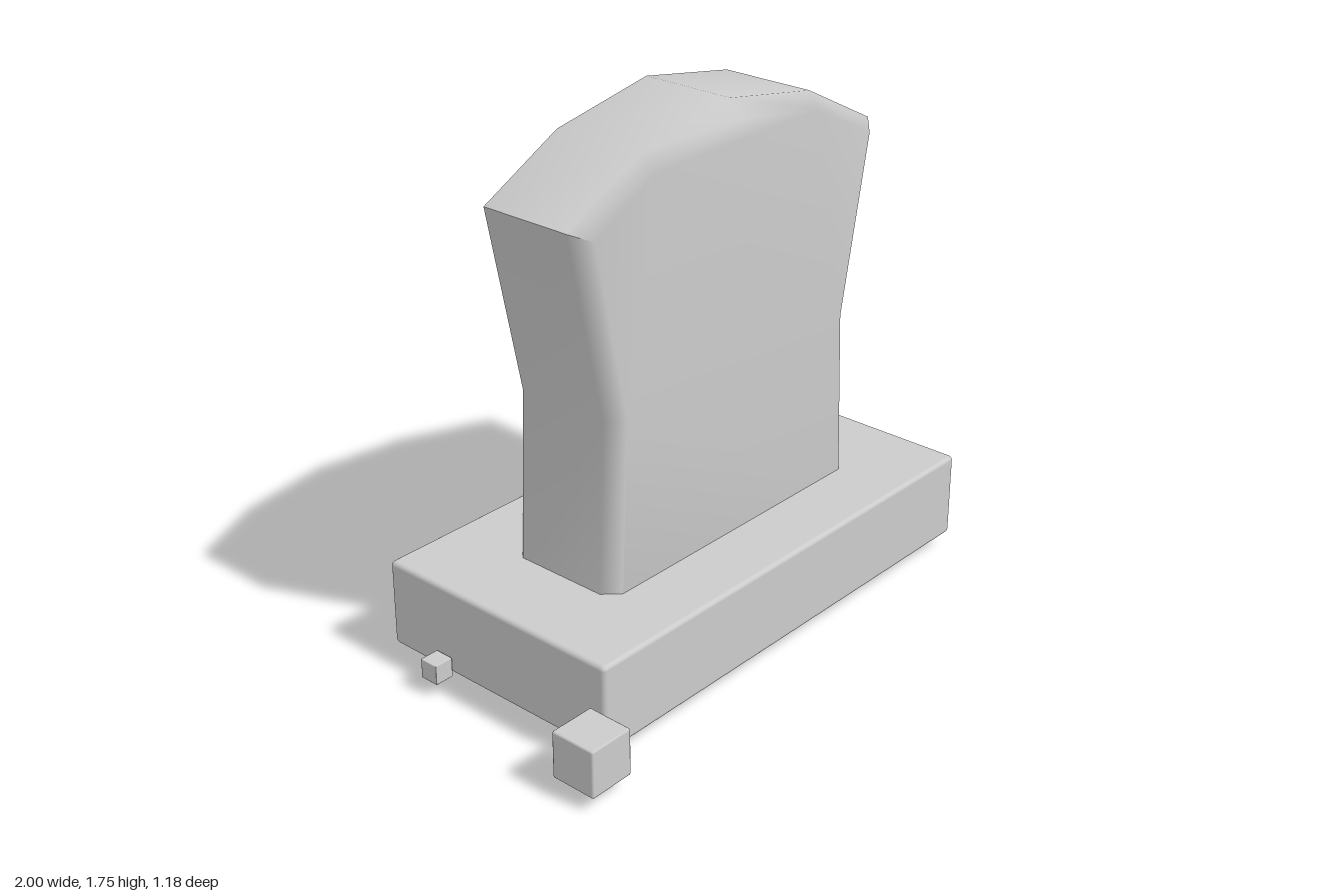
import * as THREE from 'three';
import { RoundedBoxGeometry } from 'three/addons/geometries/RoundedBoxGeometry.js';

const material = new THREE.MeshStandardMaterial({ color: 0xcccccc });

function addMesh(parent, name, geometry) {
  const mesh = new THREE.Mesh(geometry, material);
  mesh.name = name;
  parent.add(mesh);
  return mesh;
}

// Area-weighted normals: large faces stay flat, bevels blend, corners sharper than the crease stay hard
function softenBevels(geometry, crease) {
  const geo = geometry.index ? geometry.toNonIndexed() : geometry;
  const pos = geo.attributes.position;
  const faces = [];
  const around = new Map();
  const key = (i) => [pos.getX(i), pos.getY(i), pos.getZ(i)].map((v) => Math.round(v * 1e4)).join();
  const [a, b, c] = [0, 1, 2].map(() => new THREE.Vector3());
  for (let i = 0; i < pos.count; i += 3) {
    a.fromBufferAttribute(pos, i);
    b.fromBufferAttribute(pos, i + 1).sub(a);
    c.fromBufferAttribute(pos, i + 2).sub(a);
    const weighted = b.clone().cross(c);
    faces.push({ weighted, unit: weighted.clone().normalize() });
    for (let k = 0; k < 3; k++) {
      const id = key(i + k);
      if (!around.has(id)) around.set(id, []);
      around.get(id).push(faces.length - 1);
    }
  }
  const limit = Math.cos(crease);
  for (let i = 0; i < pos.count; i++) {
    const own = faces[Math.floor(i / 3)];
    const n = new THREE.Vector3();
    for (const f of around.get(key(i))) {
      if (faces[f].unit.dot(own.unit) > limit) n.add(faces[f].weighted);
    }
    n.normalize();
    geo.attributes.normal.setXYZ(i, n.x, n.y, n.z);
  }
  return geo;
}

const toShape = (points) => new THREE.Shape(points.map(([x, y]) => new THREE.Vector2(x, y)));

// Headstone outline: waisted sides and a faceted arched top
const outline = [
  [-0.55, 0.345], [0.62, 0.345], [0.595, 0.91], [0.72, 1.53], [0.41, 1.69],
  [0.035, 1.755], [-0.35, 1.685], [-0.65, 1.53], [-0.52, 0.91],
];

function stoneGeometry() {
  // The foot is sunk into the plinth so its bevel is hidden
  const points = outline.map(([x, y]) => [x, y < 0.4 ? 0.25 : y]);
  const bevel = 0.05;
  const geo = new THREE.ExtrudeGeometry(toShape(points), {
    depth: 0.427 - 2 * bevel, bevelEnabled: true, bevelSegments: 1,
    bevelThickness: bevel, bevelSize: bevel, bevelOffset: -bevel,
  });
  geo.translate(0, 0, -0.187 + bevel);
  return softenBevels(geo, 0.9);
}

function plaqueGeometry() {
  const points = outline.map(([x, y]) => [0.04 + (x - 0.035) * 0.774, 0.345 + (y - 0.345) * 0.797]);
  const geo = new THREE.ExtrudeGeometry(toShape(points), { depth: 0.1, bevelEnabled: false });
  geo.translate(0, 0, -0.25);
  return geo;
}

function skullGeometry() {
  // Half of the cranium from cheek to crown, then mirrored
  const half = [[0.16, 0.69], [0.235, 0.77], [0.267, 0.9], [0.25, 1.06], [0.17, 1.19]];
  const mirrored = half.map(([x, y]) => [-x, y]).reverse();
  const path = [...half, [0, 1.24], ...mirrored].map(([x, y]) => new THREE.Vector3(x, y, 0));
  const cranium = new THREE.CatmullRomCurve3(path).getPoints(44).map((p) => [p.x, p.y]);
  // Tapered jaw with a toothed lower edge
  const jaw = [
    [-0.125, 0.645], [-0.105, 0.575], [-0.065, 0.56], [-0.035, 0.585], [0, 0.565],
    [0.035, 0.585], [0.065, 0.56], [0.105, 0.575], [0.125, 0.645],
  ];
  const shape = toShape([...cranium, ...jaw]);

  // Slanted eye sockets and a small nose opening
  const hole = (x, y, rx, ry, tilt, sides) => {
    const curve = new THREE.EllipseCurve(x, y, rx, ry, 0, Math.PI * 2, true, tilt);
    const points = curve.getPoints(sides);
    points.pop();
    shape.holes.push(new THREE.Path(points));
  };
  for (const side of [-1, 1]) hole(side * 0.12, 0.85, 0.066, 0.043, -side * 0.35, 20);
  hole(0, 0.745, 0.015, 0.02, 0, 8);

  const bevel = 0.028;
  const geo = new THREE.ExtrudeGeometry(shape, {
    depth: 0.05, bevelEnabled: true, bevelSegments: 4,
    bevelThickness: bevel, bevelSize: bevel, bevelOffset: -bevel,
  });
  // Front at z = 0.055, jaw pushed slightly further out
  geo.translate(0, 0, 0.052 - 0.05 - bevel);
  const pos = geo.attributes.position;
  for (let i = 0; i < pos.count; i++) {
    const jawAmount = 1 - THREE.MathUtils.smoothstep(pos.getY(i), 0.68, 0.8);
    if (pos.getZ(i) > 0) pos.setZ(i, pos.getZ(i) * (1 + 0.15 * jawAmount));
  }
  geo.rotateY(Math.PI);
  geo.translate(0.025, 0, -0.25);
  return softenBevels(geo, 0.9);
}

export function createModel() {
  const model = new THREE.Group();
  model.name = 'gravestone';

  const plinth = addMesh(model, 'plinth', new RoundedBoxGeometry(1.735, 0.295, 0.905, 2, 0.015));
  plinth.position.set(0.037, 0.197, 0.022);

  addMesh(model, 'headstone', stoneGeometry());
  addMesh(model, 'plaque', plaqueGeometry());
  addMesh(model, 'skullRelief', skullGeometry());

  // Loose stone cubes around the plinth: x, base y, z, size
  const rubble = new THREE.Group();
  rubble.name = 'rubble';
  model.add(rubble);
  const cubes = [
    [-0.527, 0, -0.522, 0.145],
    [-0.087, 0.045, -0.468, 0.065],
    [0.223, 0.03, -0.483, 0.087],
    [0.952, 0.032, -0.418, 0.088],
    [-0.871, 0.045, -0.192, 0.067],
    [-0.921, 0.045, 0.508, 0.158],
  ];
  for (const [x, y, z, size] of cubes) {
    const cube = addMesh(rubble, 'stoneCube', new RoundedBoxGeometry(size, size, size, 1, size * 0.04));
    cube.position.set(x, y + size / 2, z);
  }
  return model;
}
